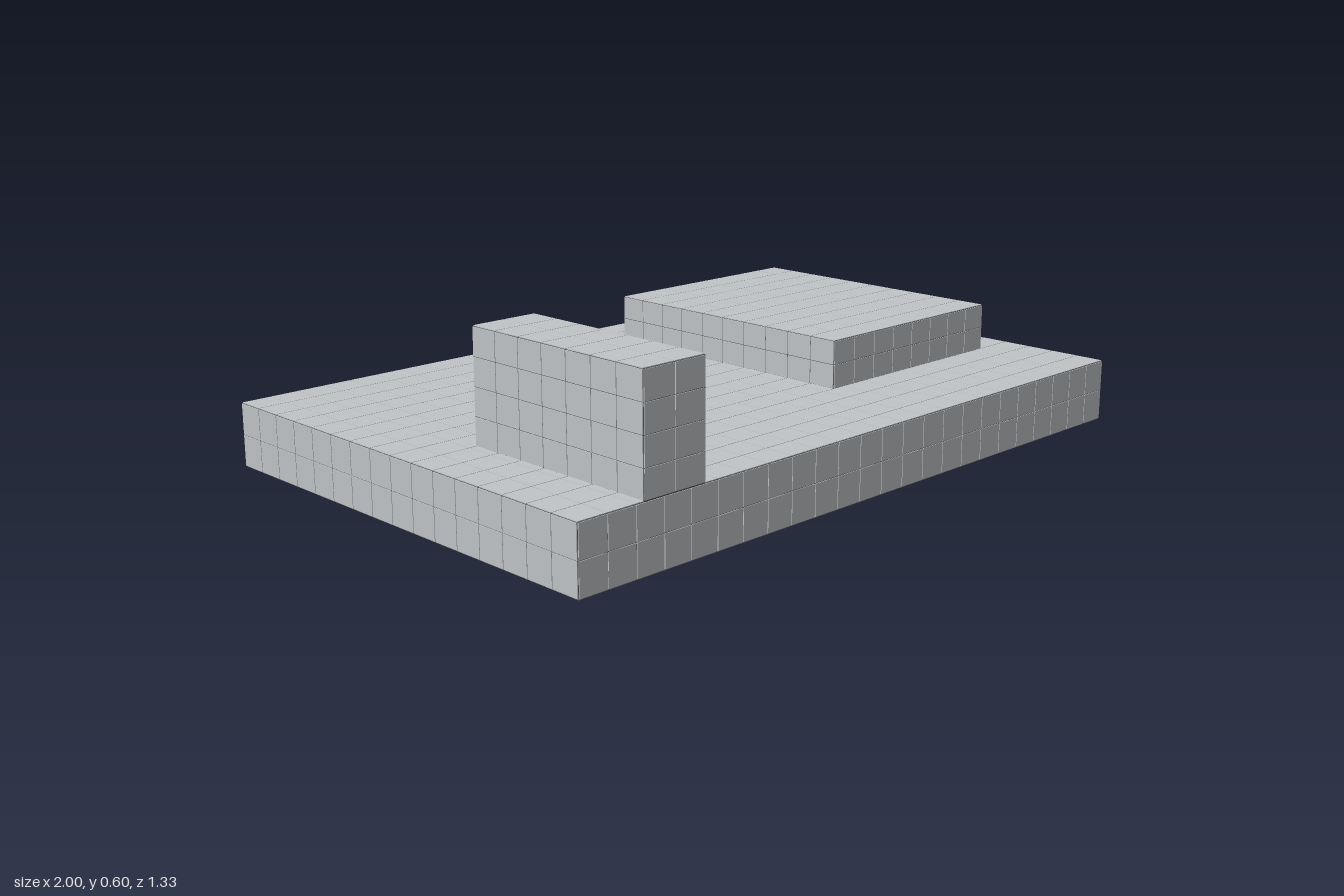
import * as THREE from 'three';
import { mergeGeometries } from 'three/addons/utils/BufferGeometryUtils.js';

const PITCH = 1 / 12; // tile size
const SEAM = 0.002; // gap between tiles
const SKIN = 0.002; // tile thickness

const paint = (name, hex) => {
  const m = new THREE.MeshStandardMaterial({ color: hex });
  m.name = name;
  return m;
};

// Box given by its lowest and highest corners
function boxBetween(a, b) {
  const g = new THREE.BoxGeometry(b[0] - a[0], b[1] - a[1], b[2] - a[2]);
  return g.translate((a[0] + b[0]) / 2, (a[1] + b[1]) / 2, (a[2] + b[2]) / 2);
}

// Cut a span into equal cells close to the tile size
function cells(lo, hi) {
  const n = Math.max(1, Math.round((hi - lo) / PITCH));
  const step = (hi - lo) / n;
  return Array.from({ length: n }, (_, i) => [
    lo + i * step + SEAM / 2, lo + (i + 1) * step - SEAM / 2,
  ]);
}

// Thin tiles over one face of a box: axis 0, 1, 2 and side -1 or 1
function tiledFace(lo, hi, axis, side) {
  const u = (axis + 1) % 3, v = (axis + 2) % 3;
  const tiles = [];
  for (const [u0, u1] of cells(lo[u] + SKIN, hi[u] - SKIN)) {
    for (const [v0, v1] of cells(lo[v] + SKIN, hi[v] - SKIN)) {
      const a = [0, 0, 0], b = [0, 0, 0];
      a[u] = u0; b[u] = u1;
      a[v] = v0; b[v] = v1;
      a[axis] = side > 0 ? hi[axis] - SKIN : lo[axis];
      b[axis] = side > 0 ? hi[axis] : lo[axis] + SKIN;
      tiles.push(boxBetween(a, b));
    }
  }
  return tiles;
}

export function createModel() {
  const model = new THREE.Group();
  model.name = 'tiledPlatform';
  const light = paint('lightGrey', 0xc0c5c8);
  const mid = paint('midGrey', 0x80868a);
  const under = paint('undersideGrey', 0x75797c);
  const dark = paint('seamGrey', 0x505558);

  const add = (parent, name, geometry, material) => {
    const mesh = new THREE.Mesh(geometry, material);
    mesh.name = name;
    parent.add(mesh);
  };

  // Dark core covered with light tiles
  function tiledBlock(name, lo, hi, hasUnderside) {
    const part = new THREE.Group();
    part.name = name;
    const bottom = hasUnderside ? SKIN : 0;
    add(part, name + 'Core', boxBetween(
      [lo[0] + SKIN, lo[1] + bottom, lo[2] + SKIN],
      [hi[0] - SKIN, hi[1] - SKIN, hi[2] - SKIN]), dark);
    const tiles = tiledFace(lo, hi, 1, 1);
    for (const side of [-1, 1]) {
      tiles.push(...tiledFace(lo, hi, 0, side), ...tiledFace(lo, hi, 2, side));
    }
    add(part, name + 'Tiles', mergeGeometries(tiles), light);
    if (hasUnderside) {
      add(part, name + 'Underside', mergeGeometries(tiledFace(lo, hi, 1, -1)), under);
    }
    model.add(part);
  }

  // Wide slab, low raised deck and tall narrow wall
  tiledBlock('slab', [-1, 0.13, -0.667], [1, 0.305, 0.667], true);
  tiledBlock('raisedDeck', [0.203, 0.303, -0.5], [0.872, 0.438, 0.333], false);
  tiledBlock('wall', [-0.81, 0.303, 0.08], [-0.62, 0.6, 0.667], false);

  // Plain block under the slab
  add(model, 'foot', boxBetween([-0.5, 0, -0.167], [0.085, 0.13, 0.045]), mid);
  return model;
}
